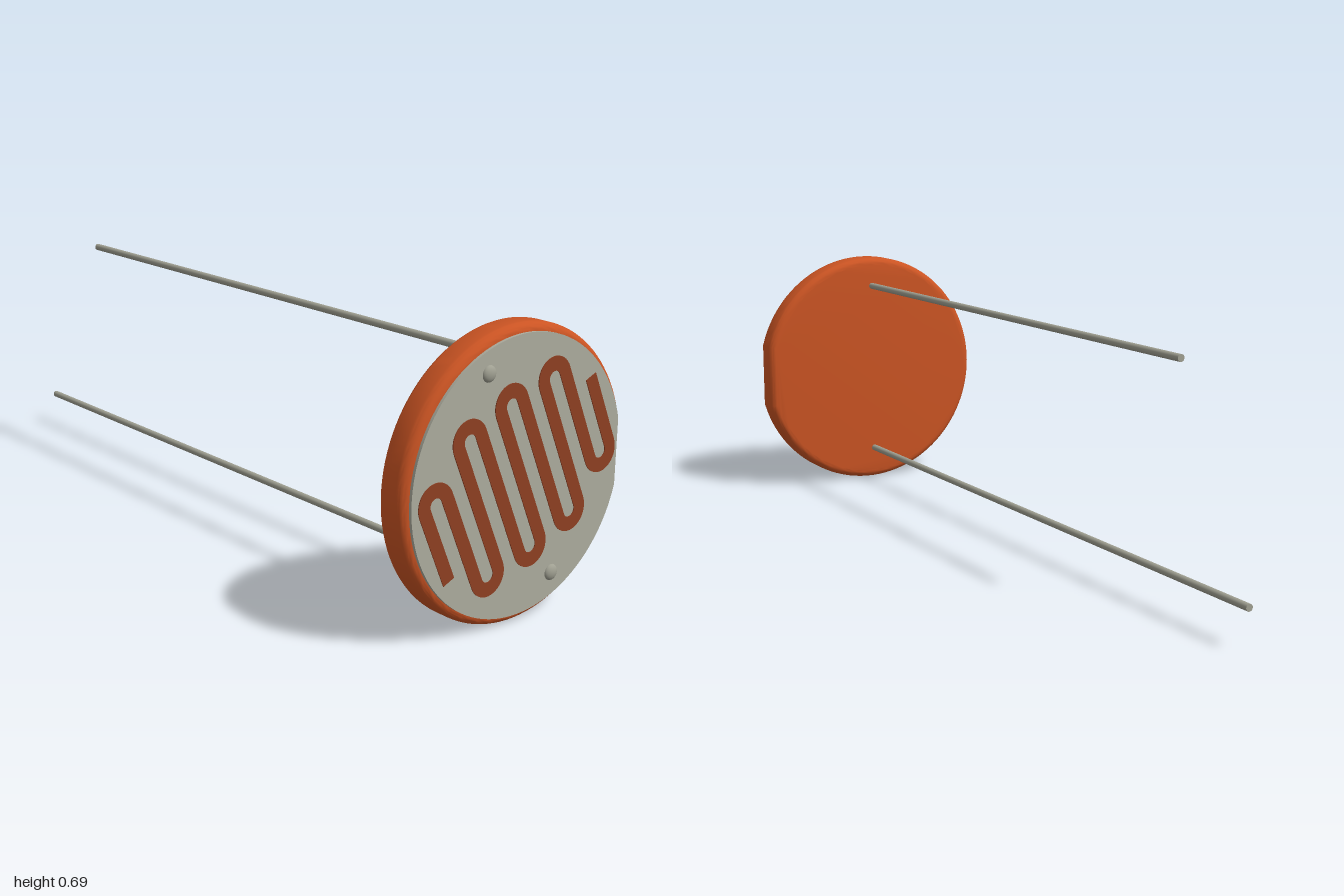
import * as THREE from 'three';
import { toCreasedNormals } from 'three/addons/utils/BufferGeometryUtils.js';

const mat = (name, color) => {
  const m = new THREE.MeshStandardMaterial({ color });
  m.name = name;
  return m;
};

// Disc outline with one side cut flat at x = flat
function flattedDisc(radius, flat) {
  const a = Math.acos(flat / radius);
  const pts = [];
  const n = 96;
  for (let i = 0; i <= n; i++) {
    const t = a + (i / n) * (2 * Math.PI - 2 * a);
    pts.push(new THREE.Vector2(radius * Math.cos(t), radius * Math.sin(t)));
  }
  return new THREE.Shape(pts);
}

// Winding ribbon: straight runs joined by half-circle turns
function ribbonShape(startU, pitch, startV, turns, endV, width) {
  const r = pitch / 2, h = width / 2;
  const left = [], right = [];
  const add = (u, v, nu, nv) => {
    left.push(new THREE.Vector2(u + nu * h, v + nv * h));
    right.push(new THREE.Vector2(u - nu * h, v - nv * h));
  };
  add(startU, startV, -1, 0);
  turns.forEach((v, k) => {
    const c = startU + (k + 0.5) * pitch;
    const s = k % 2 ? -1 : 1; // upper turns, then lower turns
    for (let i = 0; i <= 20; i++) {
      const t = Math.PI * (1 - i / 20);
      const x = Math.cos(t), y = s * Math.sin(t);
      add(c + r * x, v + r * y, s * x, s * y);
    }
  });
  add(startU + turns.length * pitch, endV, turns.length % 2 ? 1 : -1, 0);
  return new THREE.Shape([...left, ...right.reverse()]);
}

export function createModel() {
  const group = new THREE.Group();
  const orange = mat('orange coating', 0xcb5423);
  const brown = mat('brown track', 0x8f3f22);
  const ceramic = mat('pale ceramic', 0xacac9e);
  const metal = mat('grey metal', 0xa0a092);
  const cx = 0.005, cy = 0.348;

  const add = (name, geometry, material, x, y, z) => {
    const mesh = new THREE.Mesh(geometry, material);
    mesh.name = name;
    mesh.position.set(x, y, z);
    group.add(mesh);
    return mesh;
  };

  // Rounded body
  const bevel = 0.022, back = 0.903, front = 0.983;
  const body = new THREE.ExtrudeGeometry(flattedDisc(0.347 - bevel, 0.335 - bevel), {
    depth: front - back - 2 * bevel, bevelEnabled: true,
    bevelSize: bevel, bevelThickness: bevel, bevelSegments: 6,
  });
  add('body', toCreasedNormals(body, 0.5), orange, cx, cy, back + bevel);

  // Ceramic face plate
  const plate = new THREE.ExtrudeGeometry(flattedDisc(0.327, 0.317), { depth: 0.008, bevelEnabled: false });
  add('facePlate', toCreasedNormals(plate, 0.5), ceramic, cx, cy, 0.982);

  // Winding track, tilted on the face
  const ribbon = ribbonShape(-0.1266, 0.0684, 0.224,
    [0.41, 0.164, 0.484, 0.147, 0.487, 0.149, 0.47, 0.222], 0.407, 0.034);
  const track = add('track', new THREE.ExtrudeGeometry(ribbon, { depth: 0.003, bevelEnabled: false }),
    brown, 0, 0, 0.989);
  track.rotation.z = Math.atan2(0.408, 0.913);

  // Solder domes on the face
  for (const [x, y] of [[-0.107, 0.602], [0.118, 0.097]]) {
    const dome = new THREE.SphereGeometry(0.0195, 24, 8, 0, Math.PI * 2, 0, Math.PI / 2);
    dome.scale(1, 0.011 / 0.0195, 1);
    dome.rotateX(Math.PI / 2);
    add('solderDome', dome, metal, x, y, 0.989);
  }

  // Wire leads of unequal length
  for (const [y, end] of [[0.608, -0.73], [0.095, -1]]) {
    const start = 0.92;
    const lead = new THREE.CylinderGeometry(0.0092, 0.0092, start - end, 20);
    lead.rotateX(Math.PI / 2);
    add('wireLead', lead, metal, 0, y, (start + end) / 2);
  }
  return group;
}
